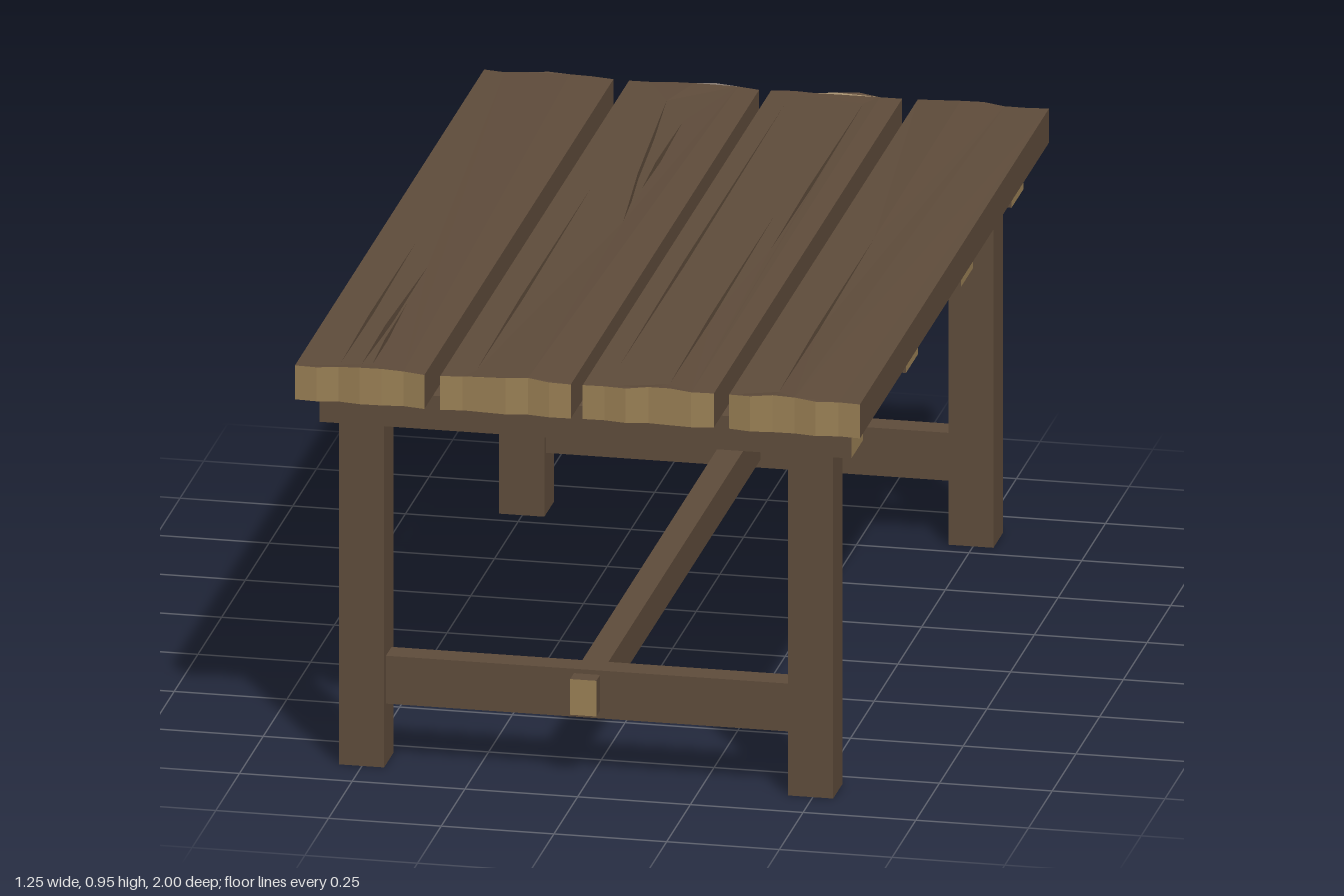
import * as THREE from 'three';

const wood = new THREE.MeshStandardMaterial({ color: 0x5f4c3b });
wood.name = 'dark wood';
const cut = new THREE.MeshStandardMaterial({ color: 0x9a8055 });
cut.name = 'cut end wood';

// Splits a geometry into two material groups: faces across the grain get the cut wood
function paintEnds(source, axis, limit) {
  const geo = source.index ? source.toNonIndexed() : source;
  geo.computeVertexNormals();
  const p = geo.attributes.position, n = geo.attributes.normal;
  const sides = [], ends = [];
  for (let i = 0; i < p.count; i += 3) {
    const isEnd = Math.abs(n.getComponent(i, axis)) > 0.7 && Math.abs(p.getComponent(i, axis)) > limit;
    const list = isEnd ? ends : sides;
    for (let k = i; k < i + 3; k++) list.push(p.getX(k), p.getY(k), p.getZ(k));
  }
  const out = new THREE.BufferGeometry();
  out.setAttribute('position', new THREE.Float32BufferAttribute(sides.concat(ends), 3));
  out.computeVertexNormals();
  out.addGroup(0, sides.length / 3, 0);
  out.addGroup(sides.length / 3, ends.length / 3, 1);
  return out;
}

// Box given by its limits; endAxis marks the sawn ends (0 = x, 2 = z)
function beam(name, [x0, x1], [y0, y1], [z0, z1], endAxis) {
  const box = new THREE.BoxGeometry(x1 - x0, y1 - y0, z1 - z0);
  const mesh = endAxis === undefined
    ? new THREE.Mesh(box, wood)
    : new THREE.Mesh(paintEnds(box, endAxis, 0.3), [wood, cut]);
  mesh.position.set((x0 + x1) / 2, (y0 + y1) / 2, (z0 + z1) / 2);
  mesh.name = name;
  return mesh;
}

// Plan outline of a plank with slightly uneven ends
function plankOutline(x0, x1, seed) {
  const shape = new THREE.Shape();
  const steps = 6;
  const uneven = (i, s) => 0.995 + 0.005 * Math.sin(i * 2.3 + s);
  for (let i = 0; i <= steps; i++) {
    const x = x0 + (x1 - x0) * i / steps;
    if (i === 0) shape.moveTo(x, -uneven(i, seed));
    else shape.lineTo(x, -uneven(i, seed));
  }
  for (let i = steps; i >= 0; i--) shape.lineTo(x0 + (x1 - x0) * i / steps, uneven(i, seed + 2));
  return shape;
}

// Long thin split in the plank, tapering to both tips
function crackPath([x0, z0, x1, z1, half]) {
  const mx = x0 * 0.4 + x1 * 0.6, mz = z0 * 0.4 + z1 * 0.6;
  const path = new THREE.Path();
  path.moveTo(x0, -z0);
  path.lineTo(mx + half, -mz);
  path.lineTo(x1, -z1);
  path.lineTo(mx - half, -mz);
  path.closePath();
  return path;
}

function plank({ x, cracks, bump }, index) {
  const group = new THREE.Group();
  group.name = 'plank' + (index + 1);
  const layer = (name, y0, y1, holes) => {
    const shape = plankOutline(x[0], x[1], index * 1.7);
    shape.holes = holes.map(crackPath);
    const geo = new THREE.ExtrudeGeometry(shape, { depth: y1 - y0, bevelEnabled: false });
    geo.rotateX(-Math.PI / 2).translate(0, y0, 0);
    // Worn, slightly raised grain along the end edges
    const p = geo.attributes.position;
    for (let i = 0; i < p.count; i++) {
      if (p.getY(i) > 0.94 && Math.abs(p.getZ(i)) > 0.98) {
        const d = (p.getX(i) - bump) / 0.06;
        p.setY(i, p.getY(i) + 0.007 * Math.exp(-d * d));
      }
    }
    const mesh = new THREE.Mesh(paintEnds(geo, 2, 0.98), [wood, cut]);
    mesh.name = name;
    group.add(mesh);
  };
  layer('plankBody', 0.867, 0.928, []);
  layer('plankSurface', 0.928, 0.945, cracks);
  return group;
}

export function createModel() {
  const table = new THREE.Group();
  table.name = 'table';

  // Table top: four planks, cracks as [x start, z start, x end, z end, half width]
  const planks = [
    { x: [-0.628, -0.34], bump: -0.46, cracks: [
      [-0.538, 0.15, -0.534, 0.96, 0.004], [-0.48, 0.3, -0.488, 0.96, 0.006], [-0.474, 0.55, -0.465, 0.95, 0.004]] },
    { x: [-0.305, -0.016], bump: -0.13, cracks: [
      [-0.24, -0.28, -0.236, 0.95, 0.004], [-0.198, -0.88, -0.126, -0.08, 0.006], [-0.135, -0.75, -0.131, -0.3, 0.005]] },
    { x: [0.01, 0.3], bump: 0.19, cracks: [
      [0.058, -0.9, 0.062, 0.85, 0.004], [0.187, -0.19, 0.193, 0.95, 0.004], [0.224, -0.95, 0.225, 0.03, 0.004]] },
    { x: [0.334, 0.625], bump: 0.44, cracks: [[0.43, -0.08, 0.436, 0.95, 0.004]] },
  ];
  const top = new THREE.Group();
  top.name = 'tableTop';
  planks.forEach((p, i) => top.add(plank(p, i)));
  table.add(top);

  // Cross beams under the planks
  for (const z of [-0.843, -0.312, 0.27, 0.847]) {
    table.add(beam('crossBeam', [-0.592, 0.588], [0.789, 0.867], [z - 0.063, z + 0.063], 0));
  }

  // Two leg frames, each with a low rail
  for (const z of [-0.843, 0.847]) {
    const frame = new THREE.Group();
    frame.name = z > 0 ? 'frontFrame' : 'backFrame';
    for (const x of [-0.501, 0.495]) {
      frame.add(beam('leg', [x - 0.05, x + 0.05], [0, 0.789], [z - 0.05, z + 0.05]));
    }
    frame.add(beam('lowRail', [-0.451, 0.445], [0.14, 0.25], [z - 0.03, z + 0.03]));
    table.add(frame);
  }

  // Long stretcher passing through both rails
  table.add(beam('stretcher', [-0.034, 0.024], [0.158, 0.24], [-0.912, 0.917], 2));
  return table;
}
